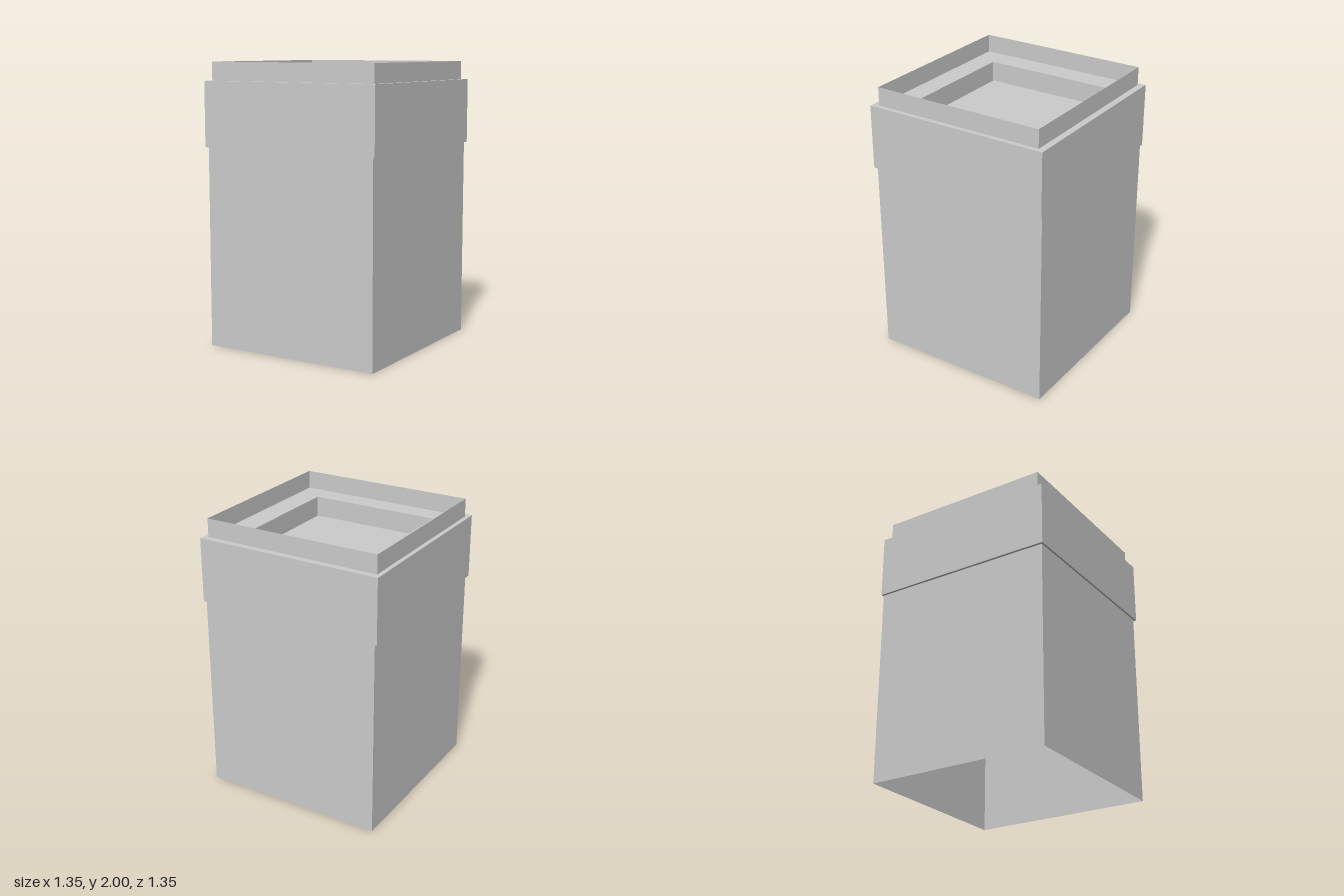
import * as THREE from 'three';

const material = new THREE.MeshStandardMaterial({ color: 0xcccccc, side: THREE.DoubleSide });

function addMesh(group, name, geometry) {
  const mesh = new THREE.Mesh(geometry, material);
  mesh.name = name;
  group.add(mesh);
}

// Four thin walls: a box without its top and bottom
function walls(x0, x1, z0, z1, y0, y1) {
  const box = new THREE.BoxGeometry(x1 - x0, y1 - y0, z1 - z0);
  const index = Array.from(box.index.array);
  box.setIndex([...index.slice(0, 12), ...index.slice(24)]);
  box.clearGroups();
  return box.translate((x0 + x1) / 2, (y0 + y1) / 2, (z0 + z1) / 2);
}

// Rectangle in plan, with optional rounded corners
function rectangle(x0, x1, z0, z1, r = 0) {
  const s = new THREE.Shape();
  const [b, t] = [-z1, -z0];
  if (r === 0) return s.moveTo(x0, b).lineTo(x1, b).lineTo(x1, t).lineTo(x0, t).closePath();
  s.absarc(x1 - r, b + r, r, -Math.PI / 2, 0);
  s.absarc(x1 - r, t - r, r, 0, Math.PI / 2);
  s.absarc(x0 + r, t - r, r, Math.PI / 2, Math.PI);
  s.absarc(x0 + r, b + r, r, Math.PI, Math.PI * 1.5);
  return s.closePath();
}

// Flat horizontal sheet at height y
function sheet(shape, y) {
  return new THREE.ShapeGeometry(shape, 4).rotateX(-Math.PI / 2).translate(0, y, 0);
}

// Smooth inward-facing wall following a plan outline
function recessWall(shape, y0, y1) {
  const points = shape.getPoints(4);
  const positions = [], index = [];
  points.forEach((p, i) => {
    positions.push(p.x, y0, -p.y, p.x, y1, -p.y);
    if (i < points.length - 1) {
      const a = i * 2;
      index.push(a, a + 1, a + 2, a + 1, a + 3, a + 2);
    }
  });
  const geometry = new THREE.BufferGeometry();
  geometry.setAttribute('position', new THREE.Float32BufferAttribute(positions, 3));
  geometry.setIndex(index);
  geometry.computeVertexNormals();
  return geometry;
}

export function createModel() {
  const group = new THREE.Group();
  group.name = 'squareBin';
  const collarTop = 1.87, recessFloor = 1.725;

  // Hollow body, open underneath
  addMesh(group, 'body', walls(-0.66, 0.655, -0.67, 0.66, 0, 1.42));

  // Collar overlapping the top of the body
  const collarPlan = [-0.678, 0.674, -0.677, 0.675];
  addMesh(group, 'collar', walls(...collarPlan, 1.413, collarTop));
  const underside = rectangle(...collarPlan);
  underside.holes.push(rectangle(-0.66, 0.655, -0.67, 0.66));
  addMesh(group, 'collarUnderside', sheet(underside, 1.413));

  // Top ledge with the recessed opening
  const opening = rectangle(-0.475, 0.47, -0.475, 0.47, 0.012);
  const ledge = rectangle(...collarPlan);
  ledge.holes.push(opening);
  addMesh(group, 'ledge', sheet(ledge, collarTop));
  addMesh(group, 'recessWall', recessWall(opening, recessFloor, collarTop));
  addMesh(group, 'recessFloor', sheet(opening, recessFloor));

  // Thin liner whose upper edge forms the raised rim
  addMesh(group, 'liner', walls(-0.647, 0.641, -0.63, 0.626, 0.91, 2));
  return group;
}
